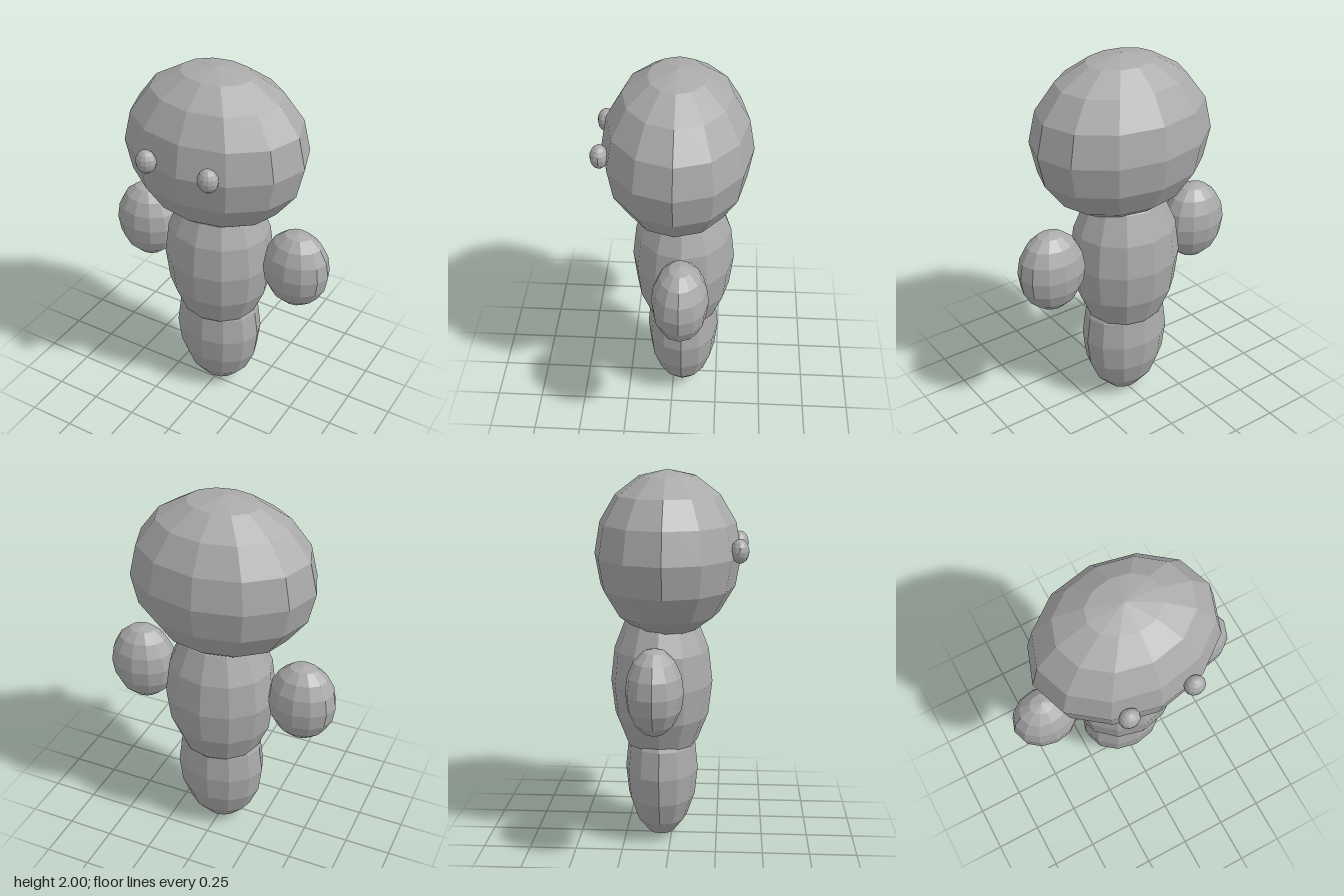
import * as THREE from 'three';

export function createModel() {
  const model = new THREE.Group();
  model.name = 'figure';

  const grey = new THREE.MeshStandardMaterial({ color: 0xaaaaaa, flatShading: true });
  grey.name = 'grey';

  // Every part is the same faceted ball, stretched to its own radii
  const ball = new THREE.SphereGeometry(1, 12, 8);
  const addBall = (name, position, radii) => {
    const mesh = new THREE.Mesh(ball, grey);
    mesh.name = name;
    mesh.position.set(...position);
    mesh.scale.set(...radii);
    model.add(mesh);
  };

  // Head, torso and the tapering lower body
  addBall('head', [0, 1.565, -0.02], [0.497, 0.435, 0.385]);
  addBall('torso', [0, 0.88, -0.053], [0.303, 0.47, 0.273]);
  addBall('lowerBody', [0, 0.388, -0.053], [0.248, 0.388, 0.197]);

  // Mirrored arms and eyes
  for (const [side, s] of [['left', 1], ['right', -1]]) {
    addBall(side + 'Arm', [s * 0.463, 0.942, -0.057], [0.184, 0.223, 0.146]);
    addBall(side + 'Eye', [s * 0.175, 1.603, 0.356], [0.055, 0.062, 0.047]);
  }

  return model;
}
